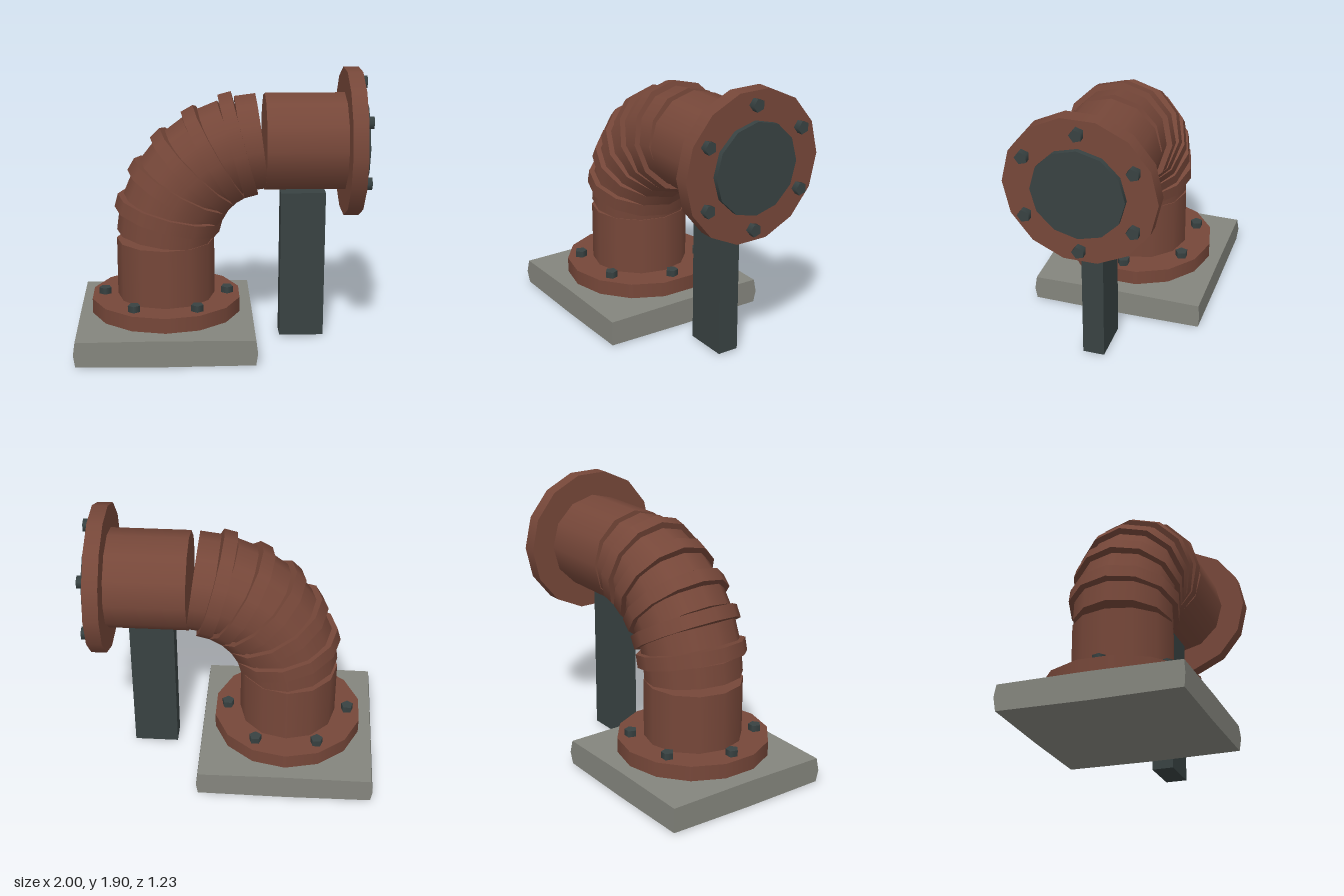
import * as THREE from 'three';

const rust = new THREE.MeshStandardMaterial({ color: 0x764739 });
rust.name = 'rust';
const darkSteel = new THREE.MeshStandardMaterial({ color: 0x384242 });
darkSteel.name = 'dark steel';
const concrete = new THREE.MeshStandardMaterial({ color: 0x84857d });
concrete.name = 'concrete';

const BASE_X = -0.38;                      // axis of the upright pipe
const PIPE_Y = 1.41;                       // axis of the level pipe
const BEND = { x: 0.3, y: 0.73, r: 0.68 }; // centre and radius of the elbow
const PIPE_R = 0.34;

function add(parent, name, geometry, material, x, y, z) {
  const mesh = new THREE.Mesh(geometry, material);
  mesh.name = name;
  mesh.position.set(x, y, z);
  parent.add(mesh);
  return mesh;
}

const drum = (r, length, sides) => new THREE.CylinderGeometry(r, r, length, sides);

// Flange plate with a ring of six bolts, built along +y from y = 0
function makeFlange(name, radius, thickness, boltCircle) {
  const flange = new THREE.Group();
  flange.name = name;
  add(flange, name + 'Plate', drum(radius, thickness, 14), rust, 0, thickness / 2, 0);
  for (let i = 0; i < 6; i++) {
    const a = (i * Math.PI) / 3;
    add(flange, name + 'Bolt', drum(0.044, 0.06, 5), darkSteel,
      boltCircle * Math.cos(a), thickness + 0.015, boltCircle * Math.sin(a));
  }
  return flange;
}

// Worn slab: a box whose middle vertices bulge outward a little
function makeSlab() {
  const g = new THREE.BoxGeometry(1.21, 0.175, 1.21, 2, 2, 2);
  const p = g.attributes.position;
  for (let i = 0; i < p.count; i++) {
    const x = p.getX(i), y = p.getY(i), z = p.getZ(i);
    const midY = Math.abs(y) < 0.01, midX = Math.abs(x) < 0.01, midZ = Math.abs(z) < 0.01;
    p.setXYZ(i,
      x + Math.sign(x) * (midY ? 0.012 : 0),
      y + Math.sign(y) * (midX || midZ ? 0.006 : 0),
      z + Math.sign(z) * (midY ? 0.01 : 0));
  }
  return g;
}

export function createModel() {
  const model = new THREE.Group();
  model.name = 'pipeElbow';

  // Ground slab and support post
  add(model, 'baseSlab', makeSlab(), concrete, BASE_X, 0.1, 0);
  add(model, 'supportPost', new THREE.BoxGeometry(0.31, 1.045, 0.15), darkSteel, 0.575, 0.5375, 0);

  // Upright pipe and its flange
  const baseFlange = makeFlange('baseFlange', 0.527, 0.105, 0.43);
  baseFlange.position.set(BASE_X, 0.215, 0);
  model.add(baseFlange);
  add(model, 'uprightPipe', drum(PIPE_R, 0.43, 12), rust, BASE_X, 0.515, 0);

  // Elbow: straight segments every 15 degrees, with a wider band over each joint
  const elbow = new THREE.Group();
  elbow.name = 'elbow';
  model.add(elbow);
  const addBendPiece = (name, degrees, radius, length) => {
    const a = THREE.MathUtils.degToRad(degrees);
    const piece = add(elbow, name, drum(radius, length, 12), rust,
      BEND.x - BEND.r * Math.cos(a), BEND.y + BEND.r * Math.sin(a), 0);
    piece.rotation.z = -a;
  };
  for (let i = 0; i < 6; i++) addBendPiece('elbowSegment', 7.5 + 15 * i, PIPE_R - 0.003, 0.145);
  for (let i = 1; i < 6; i++) addBendPiece('elbowBand', 15 * i, 0.376, 0.093);

  // Level pipe, end flange and blanking disc
  add(model, 'levelPipe', drum(PIPE_R, 0.57, 12), rust, 0.59, PIPE_Y, 0).rotation.z = -Math.PI / 2;
  const endFlange = makeFlange('endFlange', 0.51, 0.105, 0.413);
  endFlange.position.set(0.85, PIPE_Y, 0);
  endFlange.rotation.z = -Math.PI / 2;
  model.add(endFlange);
  add(model, 'endDisc', drum(0.31, 0.035, 12), darkSteel, 0.978, PIPE_Y, 0).rotation.z = -Math.PI / 2;

  return model;
}
